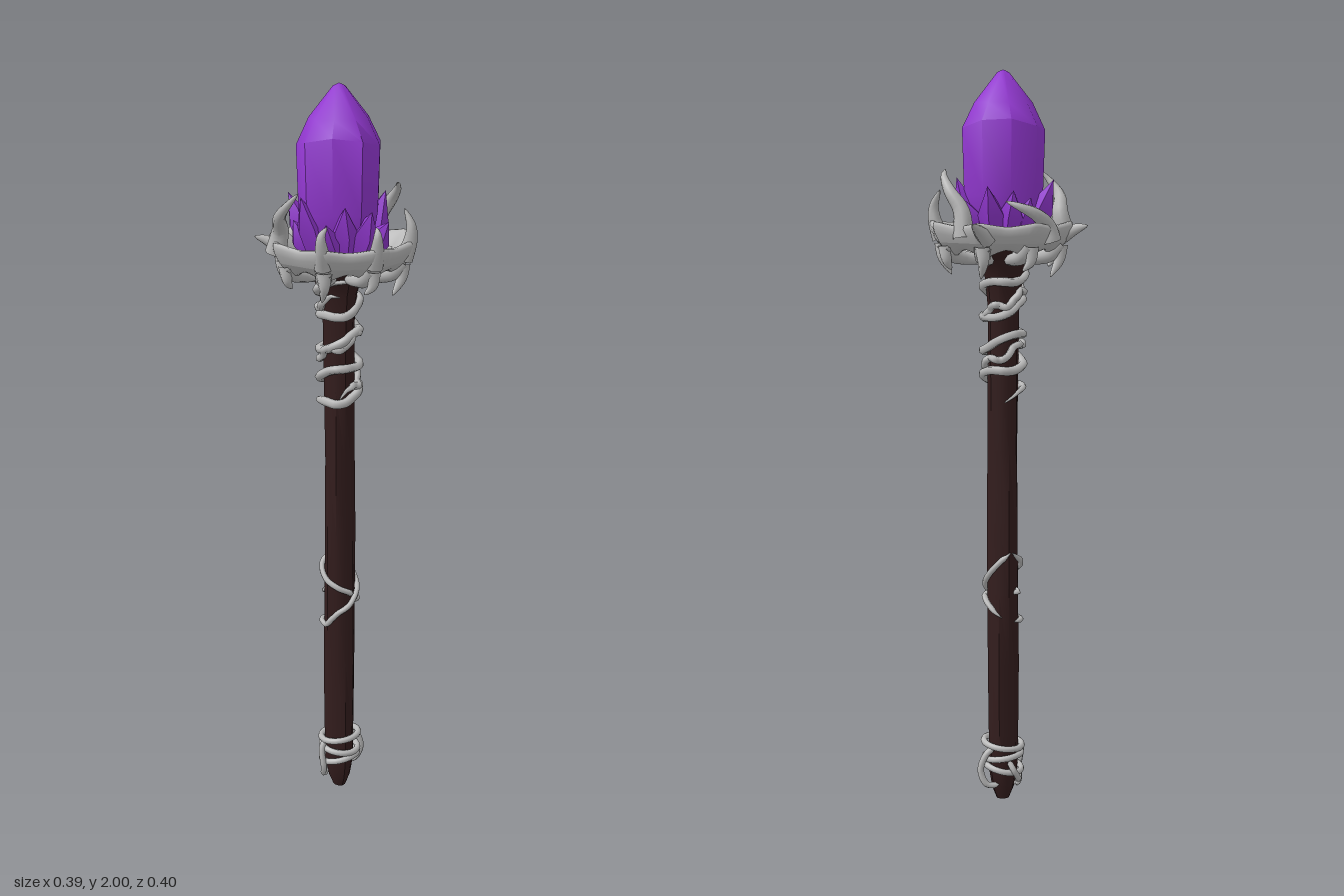
import * as THREE from 'three';
import { toCreasedNormals } from 'three/addons/utils/BufferGeometryUtils.js';

const purple = new THREE.MeshStandardMaterial({ color: 0x9238d0 });
purple.name = 'purple crystal';
const silver = new THREE.MeshStandardMaterial({ color: 0xbababa });
silver.name = 'silver metal';
const brown = new THREE.MeshStandardMaterial({ color: 0x331d1d });
brown.name = 'dark wood';

const V = (x, y, z) => new THREE.Vector3(x, y, z);
// point at an angle (degrees from +x towards +z), radius and height
const P = (deg, r, y) => {
  const a = THREE.MathUtils.degToRad(deg);
  return V(Math.cos(a) * r, y, Math.sin(a) * r);
};

function add(parent, name, geometry, material) {
  const mesh = new THREE.Mesh(geometry, material);
  mesh.name = name;
  parent.add(mesh);
  return mesh;
}

// move every vertex by a rule
function deform(geometry, rule) {
  const pos = geometry.attributes.position;
  const v = V(0, 0, 0);
  for (let i = 0; i < pos.count; i++) {
    rule(v.fromBufferAttribute(pos, i));
    pos.setXYZ(i, v.x, v.y, v.z);
  }
  geometry.computeVertexNormals();
  return geometry;
}

function lathe(profile, sides) {
  return new THREE.LatheGeometry(profile.map(([r, y]) => new THREE.Vector2(r, y)), sides);
}

// tube through points whose radius follows radiusAt(0..1)
function taperedTube(points, radiusAt, segments = 16, sides = 8) {
  const curve = new THREE.CatmullRomCurve3(points);
  const geometry = new THREE.TubeGeometry(curve, segments, 1, sides);
  const pos = geometry.attributes.position;
  const v = V(0, 0, 0);
  for (let i = 0; i <= segments; i++) {
    const c = curve.getPointAt(i / segments);
    for (let j = 0; j <= sides; j++) {
      const k = i * (sides + 1) + j;
      v.fromBufferAttribute(pos, k).sub(c).multiplyScalar(radiusAt(i / segments)).add(c);
      pos.setXYZ(k, v.x, v.y, v.z);
    }
  }
  return geometry;
}
const thorn = (points, r) => taperedTube(points, t => r * Math.pow(1 - t, 0.65) + 0.0005);
const wire = (points, r, segments) =>
  taperedTube(points, t => r * Math.min(1, 0.15 + 12 * Math.min(t, 1 - t)), segments, 6);

function createShaft(parent) {
  // pointed foot, long pole and a cup that holds the crystal
  const profile = [[0, 0.005], [0.018, 0.01], [0.03, 0.04], [0.039, 0.09], [0.041, 0.2], [0.043, 0.4],
    [0.042, 0.6], [0.042, 0.8], [0.04, 1.0], [0.041, 1.2], [0.042, 1.38], [0.05, 1.46],
    [0.068, 1.51], [0.095, 1.535], [0.12, 1.56], [0.11, 1.57], [0, 1.57]];
  const geometry = deform(lathe(profile, 10), v => {
    const k = 1 + 0.05 * Math.sin(3 * Math.atan2(v.z, v.x) + 5 * v.y);
    v.x *= k;
    v.z *= k;
  });
  add(parent, 'shaft', toCreasedNormals(geometry, 0.75), brown);
}

function createCrystal(parent) {
  const profile = [[0.05, 1.53], [0.092, 1.59], [0.107, 1.68], [0.112, 1.86], [0.079, 1.915], [0.016, 1.993], [0, 2]];
  const main = deform(lathe(profile, 9), v => {
    const a = Math.atan2(v.z, v.x);
    const k = 1 + 0.025 * Math.sin(4 * a + 1);
    v.x *= k;
    v.z *= k;
    if (v.y > 1.8 && v.y < 1.9) v.y += 0.015 * Math.sin(2 * a);
  });
  add(parent, 'crystal', toCreasedNormals(main, 0.8), purple);

  // leaning shards around the foot of the crystal
  const up = V(0, 1, 0);
  for (let i = 0; i < 12; i++) {
    const deg = i * 30 + 5 * Math.sin(i * 2.3);
    const base = P(deg, 0.065, 1.55);
    const tip = P(deg, 0.127 + 0.01 * Math.sin(i * 4.1), 1.69 + 0.035 * Math.sin(i * 2.7));
    const dir = tip.clone().sub(base);
    const half = dir.length() / 2;
    const shape = lathe([[0.028, -half], [0.036, half * 0.1], [0, half]], 5);
    const shard = add(parent, 'crystalShard', toCreasedNormals(shape, 0.9), purple);
    shard.position.copy(base).addScaledVector(dir, 0.5);
    shard.quaternion.setFromUnitVectors(up, dir.normalize());
  }
}

function createCrown(parent) {
  const first = 12;
  const R = 0.165;
  const small = 0.02;
  // eight-cornered band, flared outwards, taller at its corners and arched between them
  const band = new THREE.TorusGeometry(R, small, 12, 80).rotateX(Math.PI / 2);
  deform(band, v => {
    const a = Math.atan2(v.z, v.x);
    const local = THREE.MathUtils.euclideanModulo(THREE.MathUtils.radToDeg(a) - first + 22.5, 45) - 22.5;
    const corner = Math.pow(1 - Math.abs(local) / 22.5, 1.3);
    const octagon = Math.cos(Math.PI / 8) / Math.cos(THREE.MathUtils.degToRad(22.5 - Math.abs(local)));
    const across = (Math.hypot(v.x, v.z) - R) / small * 0.017;
    const reach = v.y > 0 ? 0.04 + 0.014 * corner : 0.03 + 0.03 * corner;
    const along = v.y / small * reach;
    const r = 0.167 * octagon + across * 0.8 + along * 0.55;
    v.set(Math.cos(a) * r, 1.567 + along * 0.84 - across * 0.55, Math.sin(a) * r);
  });
  add(parent, 'crownBand', band, silver);

  // broad struts to the shaft and thorns under each corner
  for (let i = 0; i < 8; i++) {
    const a = first + i * 45;
    add(parent, 'crownStrut', taperedTube(
      [P(a, 0.16, 1.555), P(a + 4, 0.135, 1.525), P(a + 8, 0.1, 1.515), P(a + 10, 0.06, 1.51)],
      t => 0.026 - 0.012 * t), silver);
    add(parent, 'lowerThorn', thorn(
      [P(a, 0.163, 1.55), P(a, 0.16, 1.51), P(a + 5, 0.14, i % 2 ? 1.465 : 1.485)], 0.02), silver);
  }

  // tall hooked horns
  const horns = [
    [V(-0.1, 1.57, 0.14), V(-0.085, 1.63, 0.135), V(-0.05, 1.675, 0.165), V(-0.015, 1.71, 0.165), V(0.008, 1.74, 0.15)],
    [V(-0.04, 1.57, -0.16), V(-0.025, 1.64, -0.155), V(0.01, 1.69, -0.165), V(0.045, 1.725, -0.155), V(0.07, 1.745, -0.13)],
    [V(-0.165, 1.56, 0.03), V(-0.16, 1.6, 0.02), V(-0.165, 1.63, -0.02), V(-0.15, 1.65, -0.06), V(-0.118, 1.665, -0.085)]
  ];
  for (const h of horns) add(parent, 'tallHorn', thorn(h, 0.027), silver);

  // short upright horns
  for (const [a, tip] of [[12, 1.66], [57, 1.665], [327, 1.69]]) {
    add(parent, 'shortHorn', thorn(
      [P(a, 0.165, 1.56), P(a, 0.183, 1.61), P(a, 0.185, 1.645), P(a - 3, 0.165, tip)], 0.024), silver);
  }

  // spikes pointing outwards
  add(parent, 'sideSpike', thorn([V(-0.1, 1.57, -0.13), V(-0.11, 1.59, -0.165), V(-0.125, 1.61, -0.203)], 0.024), silver);
  add(parent, 'sideSpike', thorn([V(-0.13, 1.57, 0.09), V(-0.165, 1.59, 0.115), V(-0.19, 1.6, 0.138)], 0.024), silver);
}

function createWires(parent) {
  // two strands wound the same way below the crown
  const strand = (start, turns, top, bottom, r) => {
    const points = [];
    for (let i = 0; i <= 60; i++) {
      const t = i / 60;
      points.push(P(start + t * 360 * turns, 0.05 + 0.004 * Math.sin(i * 1.9) + 0.012 * Math.max(0, 1 - 6 * t),
        top + (bottom - top) * t + 0.01 * Math.sin(i * 0.8)));
    }
    add(parent, 'coiledWire', wire(points, r, 220), silver);
  };
  strand(0, 4.6, 1.5, 1.14, 0.012);
  strand(40, 2, 1.46, 1.19, 0.01);

  // middle vines crossing each other
  const vines = [
    [[190, 0.72], [90, 0.66], [0, 0.62], [315, 0.595], [270, 0.57], [225, 0.54]],
    [[195, 0.72], [225, 0.7], [270, 0.66], [360, 0.59], [405, 0.565], [450, 0.525], [540, 0.525]]
  ];
  for (const vine of vines) {
    const points = [];
    vine.forEach(([a, y], i) => {
      if (i) {
        const [a0, y0] = vine[i - 1];
        points.push(P((a + a0) / 2, 0.049, (y + y0) / 2));
      }
      points.push(P(a, 0.048, y));
    });
    add(parent, 'middleVine', wire(points, 0.008, 70), silver);
  }

  // foot rings and hooks
  for (const [y, tilt, r] of [[0.17, 0.12, 0.053], [0.135, -0.12, 0.051], [0.105, 0.2, 0.052]]) {
    const ring = add(parent, 'footRing', new THREE.TorusGeometry(r, 0.009, 8, 28), silver);
    ring.position.y = y;
    ring.rotation.set(Math.PI / 2 + tilt * 0.6, tilt, 0);
  }
  add(parent, 'footHook', wire(
    [P(100, 0.045, 0.17), P(95, 0.062, 0.14), P(88, 0.062, 0.09), P(105, 0.05, 0.055), P(150, 0.038, 0.05)], 0.009, 32), silver);
  add(parent, 'footHook', wire(
    [P(250, 0.045, 0.17), P(265, 0.066, 0.15), P(272, 0.078, 0.105), P(262, 0.066, 0.065), P(235, 0.042, 0.06)], 0.009, 32), silver);
  add(parent, 'footHook', wire(
    [P(200, 0.045, 0.13), P(190, 0.06, 0.105), P(165, 0.052, 0.075), P(120, 0.042, 0.06)], 0.009, 32), silver);
}

export function createModel() {
  const model = new THREE.Group();
  model.name = 'crystalStaff';
  const axis = new THREE.Group();
  axis.name = 'staffBody';
  axis.position.x = -0.01;
  model.add(axis);
  createShaft(axis);
  createCrystal(axis);
  createWires(axis);

  const crown = new THREE.Group();
  crown.name = 'crown';
  model.add(crown);
  createCrown(crown);
  return model;
}
